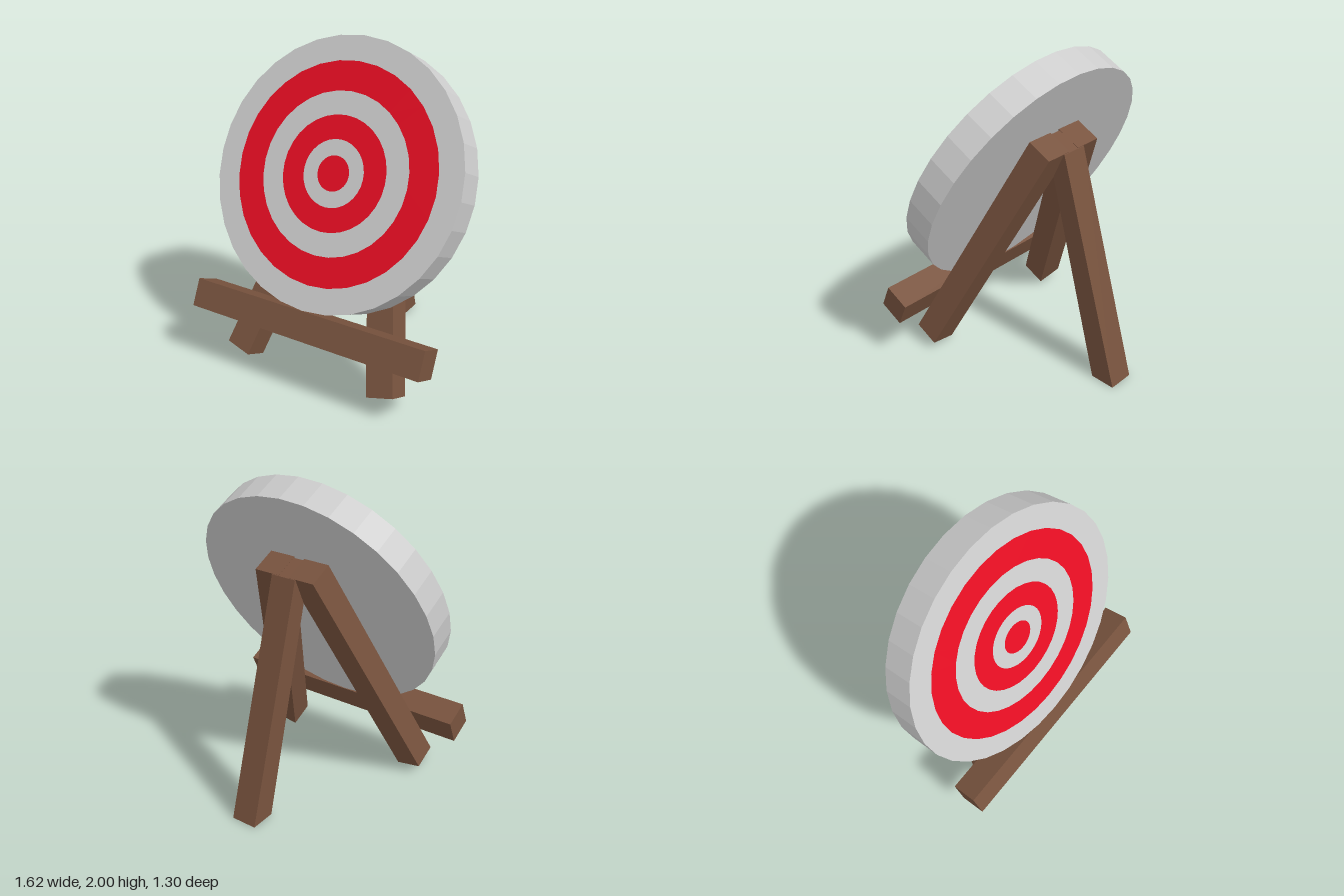
import * as THREE from 'three';

const SEG = 32, R = 0.81, DEPTH = 0.197, LEG = 0.165;

const paint = (color) => new THREE.MeshStandardMaterial({ color, flatShading: true });

export function createModel() {
  const grey = paint(0xcccccc), red = paint(0xe60d22), wood = paint(0x78533e);
  const model = new THREE.Group();

  const add = (parent, name, geometry, material) => {
    const mesh = new THREE.Mesh(geometry, material);
    mesh.name = name;
    parent.add(mesh);
    return mesh;
  };
  const extrude = (points, depth) => new THREE.ExtrudeGeometry(
    new THREE.Shape(points.map(([x, y]) => new THREE.Vector2(x, y))),
    { depth, bevelEnabled: false });

  // Everything leaning back shares one tilted frame, centred on the disc face
  const leaning = new THREE.Group();
  leaning.name = 'leaningFrame';
  leaning.position.set(0, 1.266, 0.257);
  leaning.rotation.x = THREE.MathUtils.degToRad(-25);
  model.add(leaning);

  // Disc: rim, back and concentric face rings
  const target = new THREE.Group();
  target.name = 'targetDisc';
  leaning.add(target);
  const rim = new THREE.CylinderGeometry(R, R, DEPTH, SEG, 1, true);
  rim.rotateX(Math.PI / 2).translate(0, 0, -DEPTH / 2);
  add(target, 'discRim', rim, grey);
  const back = new THREE.CircleGeometry(R, SEG);
  back.rotateY(Math.PI).translate(0, 0, -DEPTH);
  add(target, 'discBack', back, grey);

  const radii = [R, 0.66, 0.483, 0.343, 0.2, 0.105];
  radii.forEach((outer, i) => {
    const inner = radii[i + 1];
    const geometry = inner
      ? new THREE.RingGeometry(inner, outer, SEG)
      : new THREE.CircleGeometry(outer, SEG);
    add(target, inner ? `faceRing${i + 1}` : 'bullseye', geometry, i % 2 ? red : grey);
  });

  // Splayed front legs: tops cut level, feet cut square
  for (const [name, s] of [['leftFrontLeg', 1], ['rightFrontLeg', -1]]) {
    const outline = [[0.591, -1.165], [0.205, 0.375], [0.035, 0.375], [0.427, -1.208]];
    const leg = extrude(outline.map(([x, y]) => [s * x, y]), LEG);
    leg.translate(0, 0, -DEPTH - LEG);
    add(leaning, name, leg, wood);
  }

  // Cross bar the disc rests on
  const bar = new THREE.BoxGeometry(1.58, 0.172, 0.172);
  bar.translate(0, -0.903, -DEPTH + 0.086);
  add(leaning, 'restBar', bar, wood);

  // Rear leg: side profile given as (-z, y), flat on the ground
  const rear = extrude([[0.652, 0], [0.233, 1.45], [0.088, 1.517], [0.488, 0]], LEG);
  rear.translate(0, 0, -LEG / 2).rotateY(Math.PI / 2);
  add(model, 'rearLeg', rear, wood);

  return model;
}
